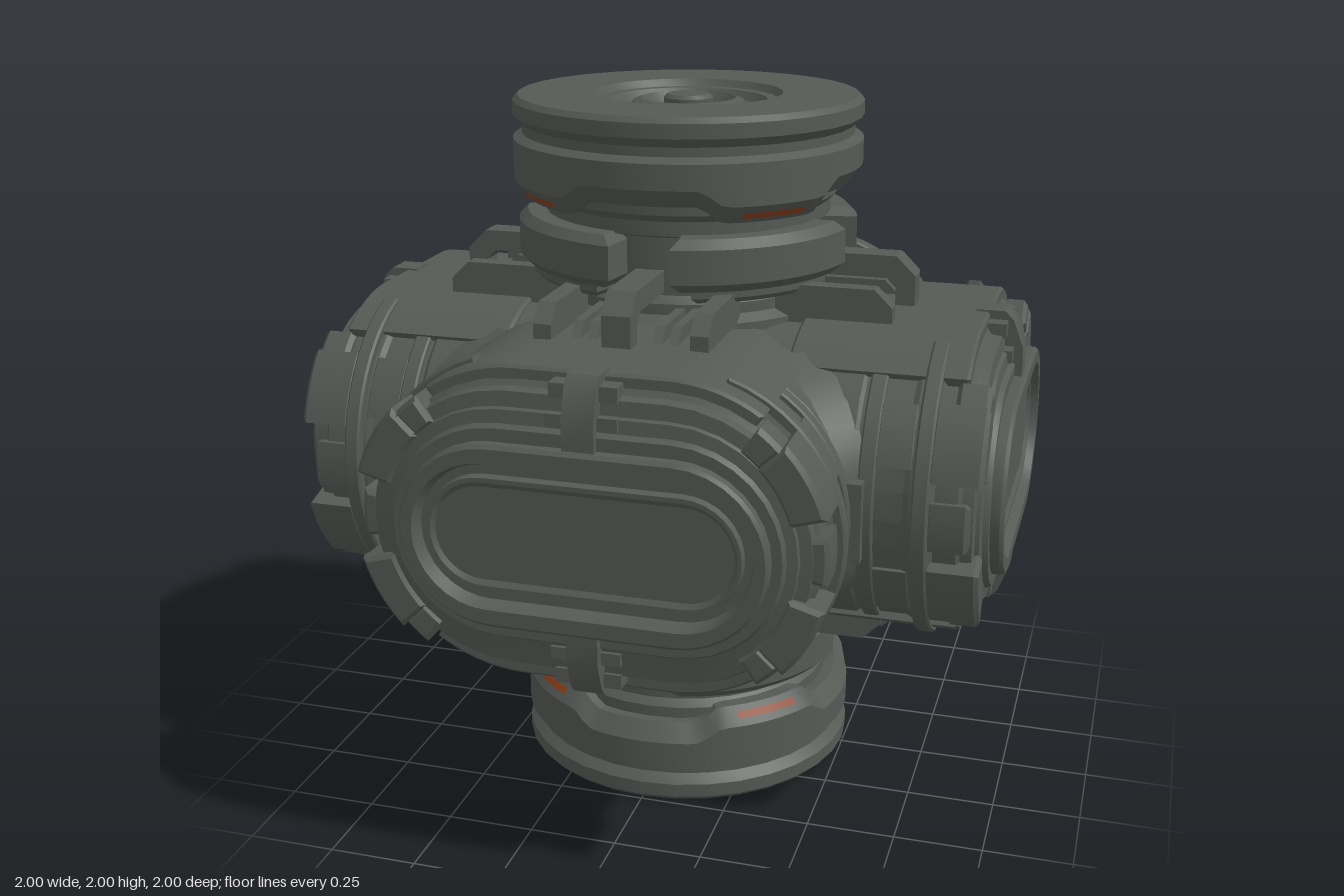
import * as THREE from 'three';
import { toCreasedNormals } from 'three/addons/utils/BufferGeometryUtils.js';

const metal = new THREE.MeshStandardMaterial({ color: 0x555a55 });
metal.name = 'dark grey metal';
const rust = new THREE.MeshStandardMaterial({ color: 0x8c401c });
rust.name = 'rust orange';
const RAD = Math.PI / 180;

function add(parent, name, geometry, material = metal) {
  const mesh = new THREE.Mesh(toCreasedNormals(geometry, 0.5), material);
  mesh.name = name;
  parent.add(mesh);
  return mesh;
}

function box(parent, name, w, h, d, x, y, z) {
  return add(parent, name, new THREE.BoxGeometry(w, h, d).translate(x, y, z));
}

// Shape extruded along z from d0 to d1, with bevelled edges of size b
function extrude(shape, d0, d1, b) {
  return new THREE.ExtrudeGeometry(shape, {
    depth: d1 - d0 - 2 * b, curveSegments: 10, bevelEnabled: b > 0,
    bevelSize: b, bevelThickness: b, bevelOffset: -b, bevelSegments: 1,
  }).translate(0, 0, d0 + b);
}

// Ring sector in the xy plane
function sector(rIn, rOut, d0, d1, a0, a1, b = 0.012) {
  const s = new THREE.Shape();
  s.absarc(0, 0, rOut, a0 * RAD, a1 * RAD, false);
  s.absarc(0, 0, rIn, a1 * RAD, a0 * RAD, true);
  return extrude(s, d0, d1, b);
}

// Curved cover following the upper side of the pill section
function cover(rIn, rOut, d0, d1, angle) {
  const s = new THREE.Shape();
  s.absarc(0.2, 0, rOut, angle * RAD, Math.PI / 2, false);
  s.absarc(-0.2, 0, rOut, Math.PI / 2, Math.PI - angle * RAD, false);
  s.absarc(-0.2, 0, rIn, Math.PI - angle * RAD, Math.PI / 2, true);
  s.absarc(0.2, 0, rIn, Math.PI / 2, angle * RAD, true);
  return extrude(s, d0, d1, 0.008);
}

// Profile in the (distance, height) plane, extruded sideways and turned to run along z
function rib(points, width) {
  const s = new THREE.Shape(points.map(p => new THREE.Vector2(...p)));
  return extrude(s, -width / 2, width / 2, 0).rotateY(-Math.PI / 2);
}

function indexed(pos, idx) {
  const g = new THREE.BufferGeometry();
  g.setAttribute('position', new THREE.Float32BufferAttribute(pos, 3));
  g.setIndex(idx);
  return g;
}

// Stack of pill-shaped sections [distance, radius], closed with a flat cap
function pillLoft(profile) {
  const N = 16, pos = [], idx = [];
  const count = 2 * (N + 1);
  for (const [d, r] of profile) {
    const s = 0.2 + (0.42 - r) * 0.24;
    for (const side of [1, -1]) {
      for (let i = 0; i <= N; i++) {
        const a = -Math.PI / 2 + Math.PI * i / N;
        pos.push(side * (s + r * Math.cos(a)), side * r * Math.sin(a), d);
      }
    }
  }
  for (let i = 0; i < profile.length - 1; i++) {
    for (let j = 0; j < count; j++) {
      const k = (j + 1) % count;
      const a = i * count + j, b = i * count + k;
      idx.push(a, b, b + count, a, b + count, a + count);
    }
  }
  const last = (profile.length - 1) * count, centre = pos.length / 3;
  pos.push(0, 0, profile[profile.length - 1][0]);
  for (let j = 0; j < count; j++) idx.push(centre, last + j, last + (j + 1) % count);
  return indexed(pos, idx);
}

// Sloped web filling the corner between two neighbouring arms
function cornerWeb() {
  const pos = [], idx = [], n = 16;
  for (let i = 0; i <= n; i++) {
    const y = -0.38 + 0.76 * i / n;
    const w = 0.2 + Math.sqrt(0.415 ** 2 - y * y) - 0.01;
    const f = 0.03 + 0.25 * Math.abs(y);
    pos.push(w, y, w + f, w + f, y, w);
    if (i < n) {
      const a = 2 * i;
      idx.push(a, a + 1, a + 3, a, a + 3, a + 2);
    }
  }
  return indexed(pos, idx);
}

function makeArm() {
  const arm = new THREE.Group();
  arm.name = 'arm';
  add(arm, 'armBody', pillLoft([
    [0, 0.418], [0.61, 0.418], [0.62, 0.408], [0.75, 0.408], [0.765, 0.418], [0.82, 0.418],
    [0.83, 0.395], [0.89, 0.395], [0.9, 0.38], [0.93, 0.375], [0.935, 0.335], [0.945, 0.33],
    [0.95, 0.295], [0.965, 0.285], [0.965, 0.25], [0.99, 0.25], [1, 0.24],
    [1, 0.2], [0.96, 0.185], [0.96, 0.16], [0.98, 0.155], [0.98, 0.142],
    [0.97, 0.128],
  ]));

  // Bands and clamp blocks around both rounded sides
  for (const side of [0, 1]) {
    const edge = new THREE.Group();
    edge.name = 'armEdge';
    edge.rotation.z = side * Math.PI;
    arm.add(edge);
    const part = (name, ...args) => add(edge, name, sector(...args).translate(0.2, 0, 0));
    part('clampBand', 0.38, 0.445, 0.775, 0.82, -72, 72, 0.006);
    part('flankBand', 0.38, 0.424, 0.63, 0.675, -66, 66, 0.005);
    part('middleClamp', 0.36, 0.425, 0.81, 0.925, -9, 9);
    for (const s of [1, -1]) {
      const arc = (name, rI, rO, d0, d1, a, b, bevel) =>
        part(name, rI, rO, d0, d1, s > 0 ? a : -b, s > 0 ? b : -a, bevel);
      arc('sideClamp', 0.34, 0.44, 0.81, 0.955, 16, 44);
      arc('upperClamp', 0.34, 0.425, 0.86, 0.95, 43, 54);
      arc('flankPanel', 0.38, 0.42, 0.67, 0.77, 20, 44, 0.006);
    }
  }

  // Covers, clips and ribs on the upper and lower faces
  for (const flip of [0, 1]) {
    const face = new THREE.Group();
    face.name = 'armFace';
    face.rotation.z = flip * Math.PI;
    arm.add(face);
    add(face, 'faceCover', cover(0.37, 0.43, 0.4, 0.888, 55));
    add(face, 'clip', rib([[0.85, 0.36], [0.85, 0.435], [0.93, 0.435], [0.955, 0.41],
      [0.985, 0.33], [0.985, 0.25], [0.9, 0.25]], 0.085));
    box(face, 'clipBar', 0.19, 0.035, 0.06, 0, 0.318, 0.93);
    box(face, 'clipFoot', 0.18, 0.04, 0.06, 0, 0.39, 0.91);
    add(face, 'mainRib', rib([[0.36, 0.57], [0.62, 0.57], [0.675, 0.515], [0.675, 0.4],
      [0.62, 0.4], [0.62, 0.48], [0.59, 0.51], [0.36, 0.51]], 0.08));
    for (const s of [1, -1]) {
      for (const [x, top, w, far] of [[0.09, 0.47, 0.025, 0.62], [0.135, 0.47, 0.025, 0.62], [0.215, 0.52, 0.05, 0.645]]) {
        add(face, 'sideRib', rib([[0.3, top], [far - 0.05, top], [far, top - 0.05],
          [far, 0.37], [0.3, 0.37]], w).translate(s * x, 0, 0));
      }
    }
  }
  return arm;
}

function lathe(points, segments = 32, start = 0, sweep = 360) {
  return new THREE.LatheGeometry(points.map(p => new THREE.Vector2(...p)), segments, start * RAD, sweep * RAD);
}

function makeColumn() {
  const column = new THREE.Group();
  column.name = 'column';
  add(column, 'columnCore', lathe([
    [0.43, 0.38], [0.43, 0.43], [0.4, 0.45], [0.4, 0.48], [0.38, 0.5], [0.38, 0.66],
    [0.41, 0.67], [0.41, 0.71], [0.43, 0.73], [0.43, 0.8],
  ]));

  // Collar whose lower edge drops at the four diagonals
  const collar = lathe([[0.4, 0.765], [0.46, 0.76], [0.5, 0.81], [0.5, 0.88], [0.475, 0.895]], 96);
  const p = collar.attributes.position;
  for (let i = 0; i < p.count; i++) {
    if (p.getY(i) > 0.82) continue;
    const a = Math.atan2(p.getX(i), p.getZ(i)) / RAD + 360;
    const off = Math.abs(a % 90 - 45);
    p.setY(i, p.getY(i) - 0.045 * THREE.MathUtils.clamp((25 - off) / 7, 0, 1));
  }
  add(column, 'collar', collar);

  // End disc with a stepped socket and central pin
  add(column, 'endDisc', lathe([
    [0.475, 0.88], [0.475, 0.92], [0.5, 0.945], [0.5, 0.985], [0.485, 1], [0.27, 1], [0.255, 0.98],
    [0.225, 0.98], [0.205, 0.955], [0.16, 0.955], [0.16, 0.975], [0.135, 0.985],
    [0.11, 0.955], [0.07, 0.955], [0.07, 0.985], [0.06, 0.995], [0, 0.995],
  ]));

  // Pads and marker strips at the diagonals
  for (let k = 0; k < 4; k++) {
    const mid = 45 + 90 * k;
    const upright = g => g.rotateX(-Math.PI / 2);
    add(column, 'pad', upright(sector(0.36, 0.488, 0.53, 0.675, mid - 35, mid + 35, 0.025)));
    add(column, 'padFoot', upright(sector(0.36, 0.455, 0.495, 0.56, mid - 28, mid + 28, 0.015)));
    add(column, 'markerStrip', lathe([[0.4745, 0.728], [0.488, 0.745]], 8, mid - 11.5, 23), rust);
  }
  return column;
}

export function createModel() {
  const model = new THREE.Group();
  model.name = 'junctionHub';
  const hub = new THREE.Group();
  hub.name = 'hub';
  hub.position.y = 1;
  model.add(hub);

  const arm = makeArm();
  for (let k = 0; k < 4; k++) {
    const corner = new THREE.Group();
    corner.name = 'quarter';
    corner.rotation.y = k * Math.PI / 2;
    hub.add(corner);
    corner.add(arm.clone());
    add(corner, 'cornerWeb', cornerWeb());
    box(corner, 'cornerClasp', 0.06, 0.22, 0.06, 0.62, 0, 0.62);
  }
  const column = makeColumn();
  const lower = column.clone();
  lower.rotation.x = Math.PI;
  hub.add(column, lower);
  return model;
}
